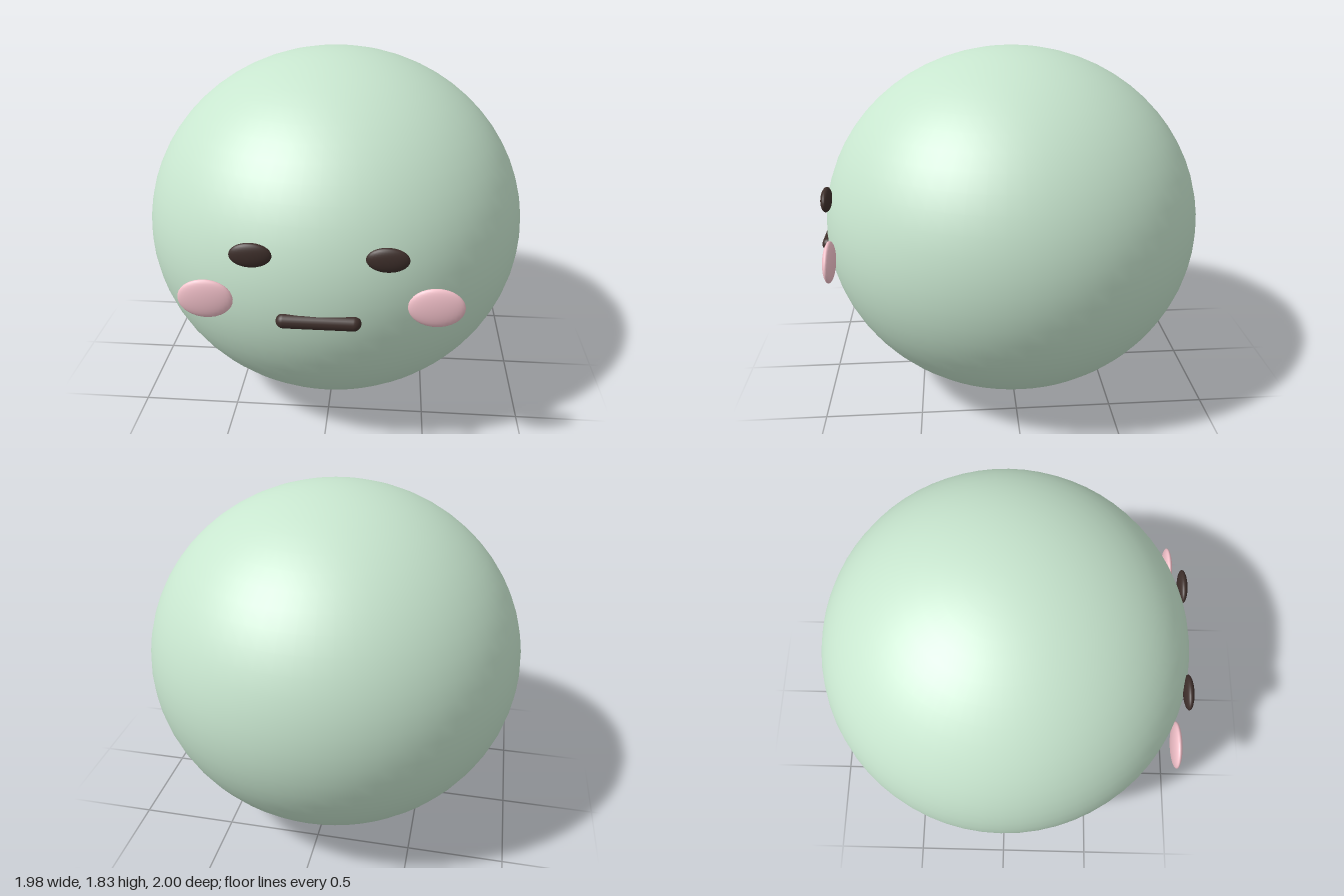
import * as THREE from 'three';

const material = (color) => new THREE.MeshStandardMaterial({ color });

// Ellipsoid given by its centre and its three radii
function ellipsoid(name, mat, center, radii, segments = 32) {
  const geometry = new THREE.SphereGeometry(1, segments, segments / 2);
  geometry.scale(...radii);
  const mesh = new THREE.Mesh(geometry, mat);
  mesh.name = name;
  mesh.position.set(...center);
  return mesh;
}

export function createModel() {
  const model = new THREE.Group();
  model.name = 'roundCreature';
  const green = material(0xc8e6cf);
  const dark = material(0x3e2f2b);
  const pink = material(0xf4c2cb);

  // Slightly squashed body
  model.add(ellipsoid('body', green, [0, 0.915, -0.01], [0.99, 0.915, 0.99], 64));

  // Eyes and cheeks, mirrored
  for (const [side, s] of [['left', 1], ['right', -1]]) {
    model.add(ellipsoid(side + 'Eye', dark, [s * 0.296, 1.14, 0.931], [0.094, 0.058, 0.026]));
    model.add(ellipsoid(side + 'Cheek', pink, [s * 0.515, 0.9, 0.906], [0.126, 0.096, 0.027]));
  }

  // Straight mouth, half sunk into the body
  const mouth = new THREE.Mesh(new THREE.CapsuleGeometry(0.034, 0.31, 8, 24), dark);
  mouth.name = 'mouth';
  mouth.rotation.z = Math.PI / 2;
  mouth.position.set(0, 0.84, 0.966);
  model.add(mouth);

  return model;
}
